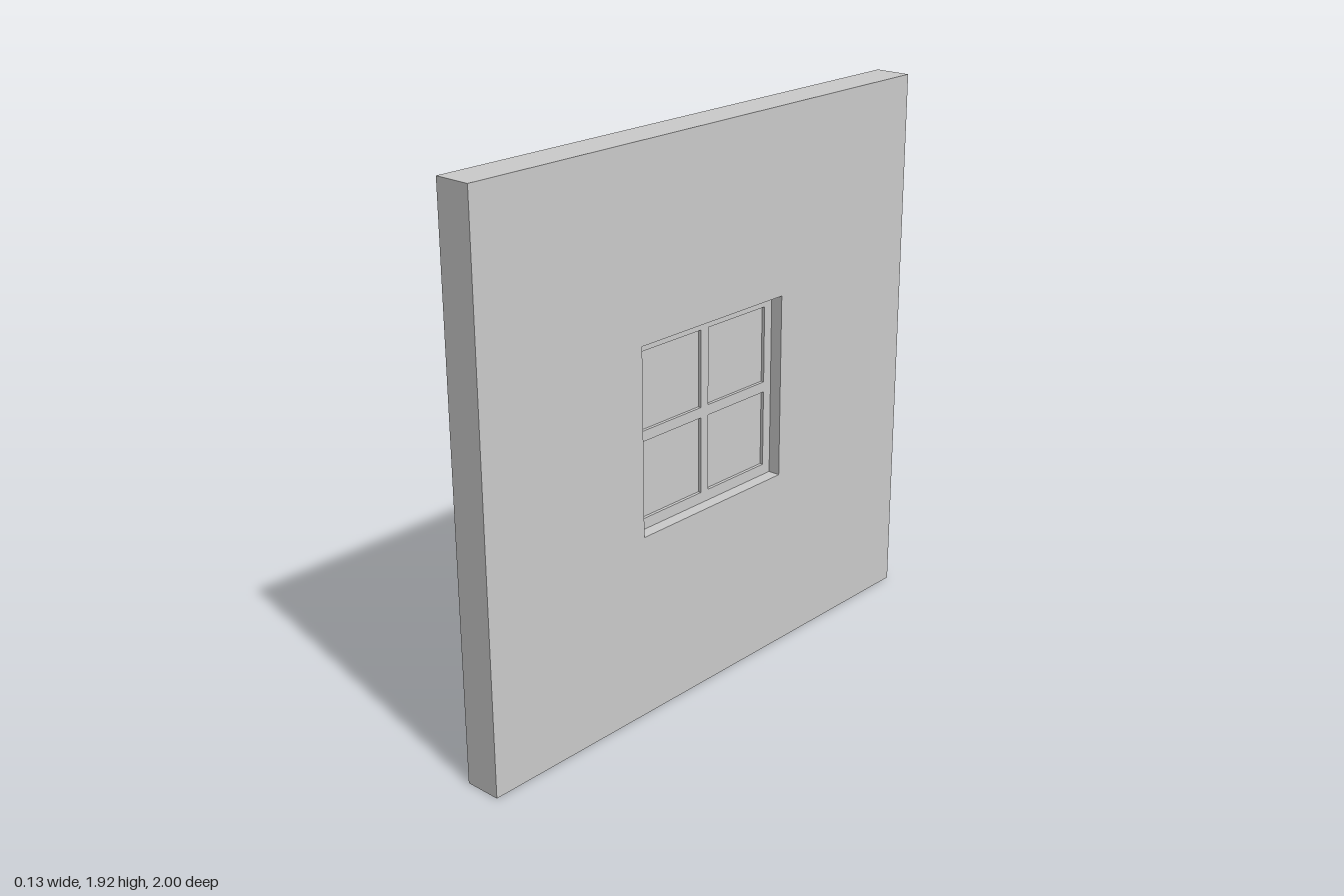
import * as THREE from 'three';

// Rectangle outline in the (z, y) plane of the wall
function rect(PathType, z0, z1, y0, y1) {
  const p = new PathType();
  p.moveTo(z0, y0);
  p.lineTo(z1, y0);
  p.lineTo(z1, y1);
  p.lineTo(z0, y1);
  p.closePath();
  return p;
}

// Extrude an outline with holes so that its thickness runs along x
function slab(name, outline, holes, x0, x1, material) {
  const shape = rect(THREE.Shape, ...outline);
  holes.forEach((h) => shape.holes.push(rect(THREE.Path, ...h)));
  const geometry = new THREE.ExtrudeGeometry(shape, { depth: x1 - x0, bevelEnabled: false });
  geometry.rotateY(-Math.PI / 2); // shape x -> z, depth -> -x
  geometry.translate(x1, 0, 0);
  const mesh = new THREE.Mesh(geometry, material);
  mesh.name = name;
  return mesh;
}

export function createModel() {
  const group = new THREE.Group();
  group.name = 'windowWall';

  const plaster = new THREE.MeshStandardMaterial({ color: 0xcccccc });
  plaster.name = 'plaster grey';

  const opening = [-0.335, 0.335, 0.642, 1.284];
  const panes = [];
  for (const [z0, z1] of [[-0.299, -0.018], [0.018, 0.299]]) {
    for (const [y0, y1] of [[0.68, 0.945], [0.981, 1.246]]) panes.push([z0, z1, y0, y1]);
  }

  // Wall with the window opening
  group.add(slab('wall', [-1, 1, 0, 1.92], [opening], -0.064, 0.064, plaster));

  // Recessed frame with crossing glazing bars
  group.add(slab('windowFrame', opening, panes, -0.021, 0.021, plaster));

  // Four panes, set slightly towards the +x side of the frame
  panes.forEach((p) => group.add(slab('windowPane', p, [], -0.003, 0.01, plaster)));

  return group;
}
